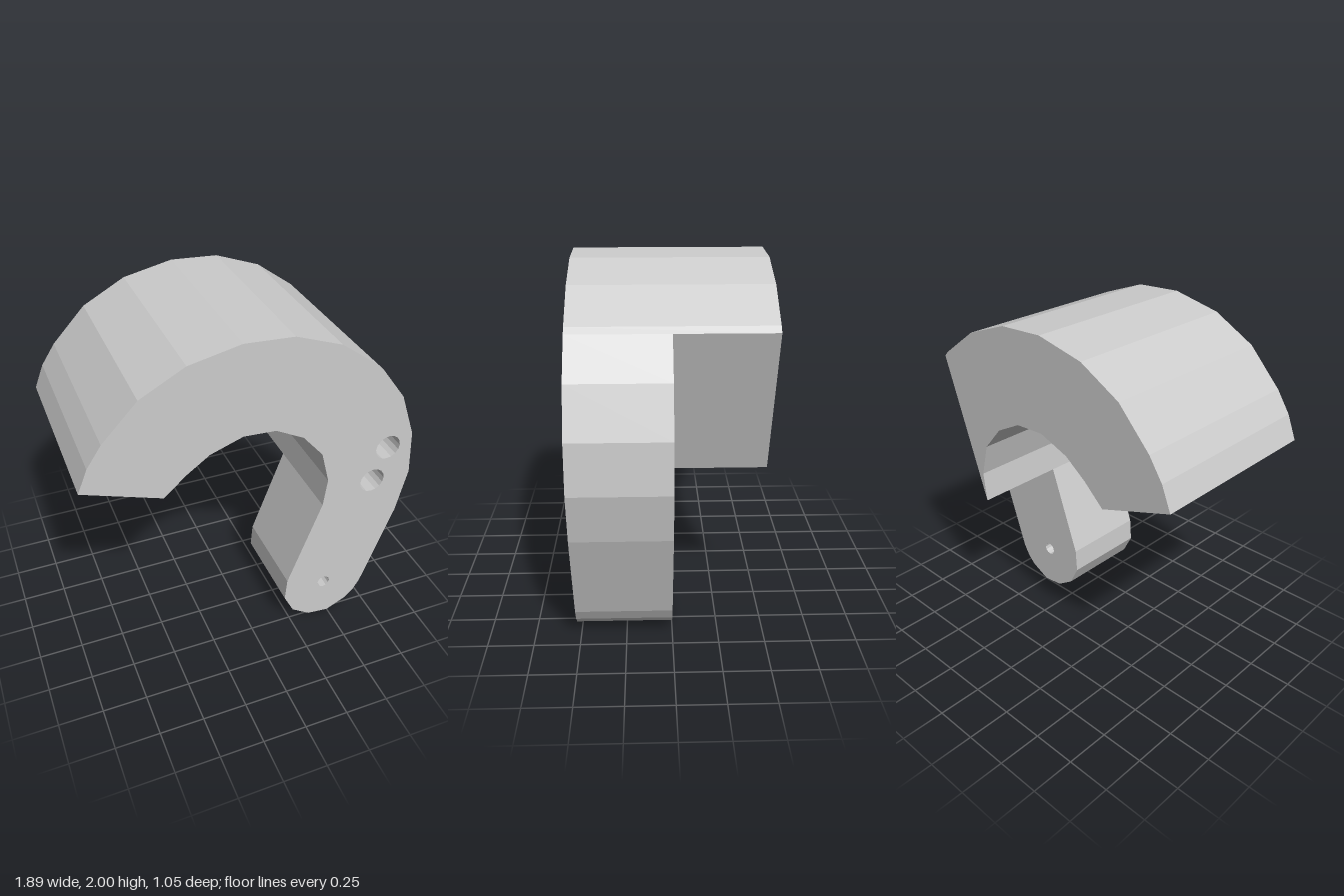
import * as THREE from 'three';

const FRONT = 0.525, MID = 0, BACK = -0.525;
const material = new THREE.MeshStandardMaterial({ color: 0xcccccc, flatShading: true });

const points = (list) => list.map(([x, y]) => new THREE.Vector2(x, y));

// Curved jaw, counter-clockwise from the outer end of the cut to its inner end
const hookPath = points([
  [0.68, 1.70], [0.65, 1.73], [0.43, 1.89], [0.17, 1.985], [-0.1, 2.0], [-0.38, 1.94],
  [-0.62, 1.81], [-0.81, 1.61], [-0.89, 1.49], [-0.945, 1.355],
  [-0.52, 1.205], [-0.4, 1.315], [-0.27, 1.41], [-0.09, 1.475], [0.09, 1.465],
  [0.25, 1.38], [0.37, 1.24], [0.42, 1.05], [0.4, 0.88],
]);

// Straight arm, counter-clockwise from the inner end of the cut to its outer end
const armPath = points([
  [0.4, 0.88], [0.21, 0.35], [0.2, 0.21], [0.26, 0.09], [0.37, 0.015], [0.5, 0.0],
  [0.62, 0.06], [0.67, 0.11], [0.71, 0.18], [0.89, 0.7], [0.945, 0.97],
  [0.925, 1.24], [0.83, 1.5], [0.68, 1.70],
]);

// Clockwise circles through the arm
const holes = [[0.78, 1.18, 0.075, 16], [0.705, 0.97, 0.075, 16], [0.455, 0.26, 0.039, 12]]
  .map(([x, y, r, n]) => Array.from({ length: n + 1 }, (_, i) => {
    const a = -(i / n) * Math.PI * 2;
    return new THREE.Vector2(x + r * Math.cos(a), y + r * Math.sin(a));
  }));

// Strip of quads along a path, facing outward for counter-clockwise paths
function wall(path, z0, z1) {
  const v = [];
  for (let i = 0; i < path.length - 1; i++) {
    const a = path[i], b = path[i + 1];
    v.push(a.x, a.y, z0, b.x, b.y, z0, b.x, b.y, z1);
    v.push(a.x, a.y, z0, b.x, b.y, z1, a.x, a.y, z1);
  }
  const g = new THREE.BufferGeometry();
  g.setAttribute('position', new THREE.Float32BufferAttribute(v, 3));
  g.computeVertexNormals();
  return g;
}

// Flat face at depth z, turned to -z when back is true
function cap(path, z, back, cutouts = []) {
  const shape = new THREE.Shape(path);
  shape.holes = cutouts.map((h) => new THREE.Path(h));
  const g = new THREE.ShapeGeometry(shape);
  if (back) {
    const index = g.index.array;
    for (let i = 0; i < index.length; i += 3) [index[i], index[i + 1]] = [index[i + 1], index[i]];
    g.computeVertexNormals();
  }
  return g.translate(0, 0, z);
}

export function createModel() {
  const model = new THREE.Group();
  model.name = 'hookBracket';
  const add = (name, geometry) => {
    const mesh = new THREE.Mesh(geometry, material);
    mesh.name = name;
    model.add(mesh);
  };

  // Shared front face
  add('frontFace', cap([...hookPath, ...armPath.slice(1, -1)], FRONT, false, holes));

  // Full-depth hook
  add('hookWall', wall(hookPath, BACK, FRONT));
  add('hookBackFace', cap(hookPath, BACK, true));
  add('hookCutFace', wall([hookPath[hookPath.length - 1], hookPath[0]], BACK, MID));

  // Half-depth arm with its drilled holes
  add('armWall', wall(armPath, MID, FRONT));
  add('armBackFace', cap(armPath, MID, true, holes));
  holes.forEach((h, i) => add(`holeWall${i + 1}`, wall(h, MID, FRONT)));

  return model;
}
